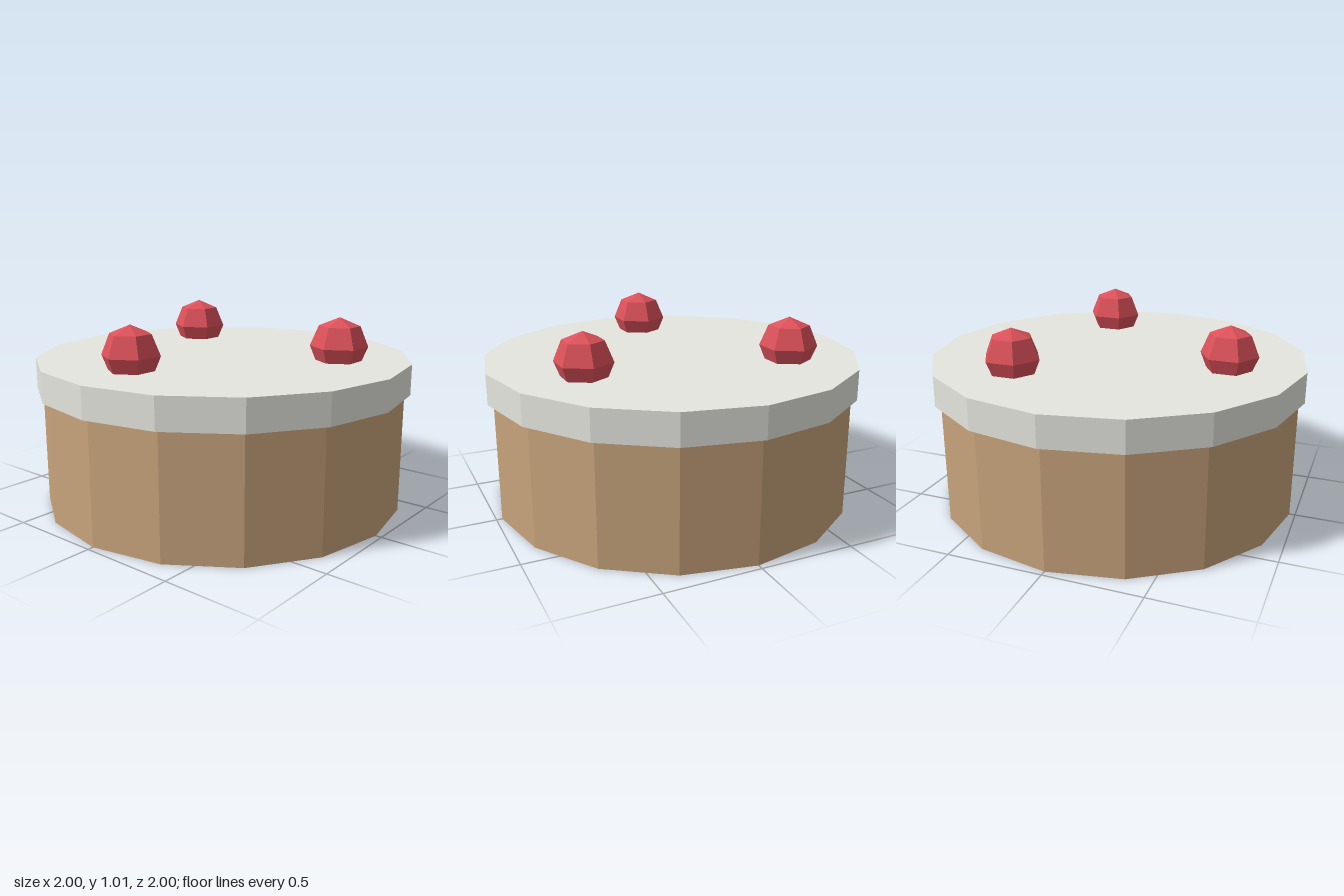
import * as THREE from 'three';

const SIDES = 16;

function mat(color) {
  return new THREE.MeshStandardMaterial({ color, flatShading: true });
}

function addMesh(parent, name, geometry, material, x, y, z) {
  const mesh = new THREE.Mesh(geometry, material);
  mesh.name = name;
  mesh.position.set(x, y, z);
  parent.add(mesh);
  return mesh;
}

export function createModel() {
  const cake = new THREE.Group();
  cake.name = 'cake';

  // Sponge base
  const spongeHeight = 0.63;
  addMesh(cake, 'sponge', new THREE.CylinderGeometry(0.97, 0.97, spongeHeight, SIDES),
    mat(0xc8a47c), 0, spongeHeight / 2, 0);

  // Icing slab, slightly wider than the sponge
  const icingHeight = 0.16;
  addMesh(cake, 'icing', new THREE.CylinderGeometry(1, 1, icingHeight, SIDES),
    mat(0xe6e6e0), 0, spongeHeight + icingHeight / 2, 0);

  // Cherries, half sunk into the icing, with a corner towards the front
  const cherry = new THREE.SphereGeometry(0.15, 6, 4).rotateY(Math.PI / 2);
  const cherryMaterial = mat(0xdc515a);
  const spots = [[-0.5, -0.375], [0.575, -0.245], [-0.07, 0.62]];
  spots.forEach(([x, z], i) =>
    addMesh(cake, `cherry${i + 1}`, cherry, cherryMaterial, x, 0.865, z));

  return cake;
}
